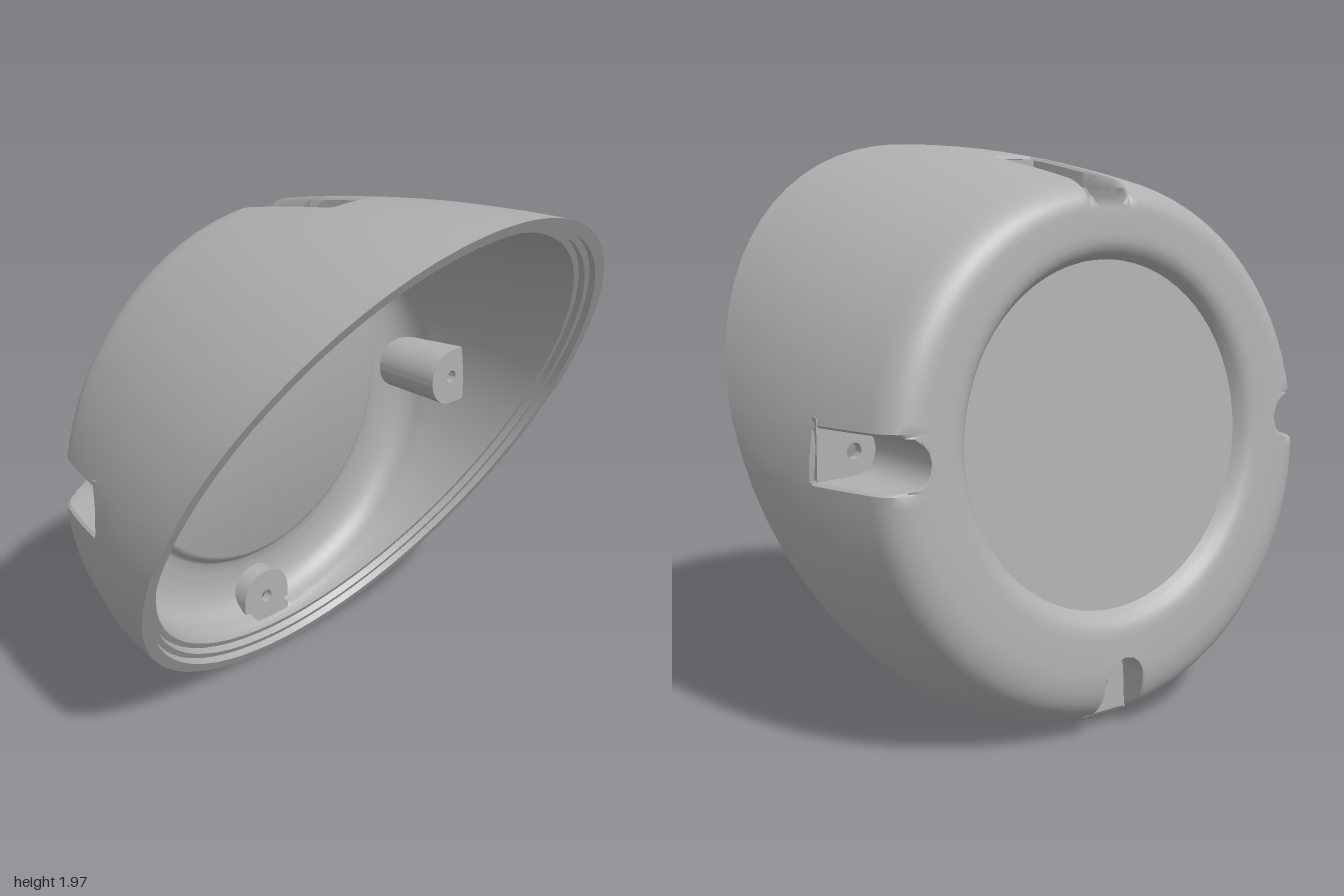
import * as THREE from 'three';
import { toCreasedNormals } from 'three/addons/utils/BufferGeometryUtils.js';

const CY = 0.998;        // height of the housing's centre
const BOSS_R = 0.805;    // distance of the screw bosses from the centre
const SLOT_W = 0.078;    // half width of a screw slot
const HALF_PI = Math.PI / 2;
const lerp = (a, b, t) => a + (b - a) * t;
const bez = (a, b, c, t) => lerp(lerp(a, b, t), lerp(b, c, t), t);
const arcV = (w, u) => BOSS_R - Math.sqrt(Math.max(0, w * w - u * u));

// slanted front rim plane, slightly leaning back plane, and slot end depth
const rimZ = y => lerp(-0.445, 0.67, y / 1.97);
const backZ = y => -0.615 + 0.066 * (y - 0.985);
const SLOT_END = [-0.04, -0.29, -0.555, -0.29];   // top, left, bottom, right

// Columns round the shell: straight sided ones at each slot, radial ones between
function makeColumns() {
  const half = [0.032, 0.056, 0.072, SLOT_W, 0.084, 0.092];
  const us = [...half.map(u => -u).reverse(), 0, ...half];
  const cols = [];
  for (let k = 0; k < 4; k++) {
    for (const u of us) cols.push({ k, u, slot: true });
    for (let i = 0; i <= 14; i++) cols.push({ k, a: lerp(0.155, HALF_PI - 0.155, i / 14), slot: false });
  }
  return cols;
}

// Cross-section sizes that depend on the angle
function section(theta) {
  const c = Math.cos(theta), s = Math.sin(theta);
  const R = 1 / Math.hypot(s, c / 0.985) - 0.013 * c;
  const y = r => CY + r * c;
  const h = rimZ(y(R)) - backZ(y(R));
  const rs = 0.838 + (1.235 - h) * 0.1, ds = 0.1;
  const wall = d => bez(R, (R + rs) / 2 + 0.015 + 0.04 * Math.min(1, h), rs, (h - d) / (h - ds));
  return { c, R, y, h, rs, ds, wall };
}

// One closed profile from the back centre over the rim to the inner centre
function profile(col) {
  const theta = col.k * HALF_PI + (col.slot ? Math.asin(col.u / 0.93) : col.a);
  const { c, R, y, h, rs, ds, wall } = section(theta);
  const zEnd = col.slot ? SLOT_END[col.k] : lerp(SLOT_END[col.k], SLOT_END[(col.k + 1) % 4],
    (1 - Math.cos(col.a * 2)) / 2);
  const dEnd = Math.min(Math.max(zEnd - backZ(y(0.93)), ds + 0.004), h - 0.05);
  const rows = [];
  const add = (r, d, mode = 'plain') => rows.push({ r, mode, depth: yy => backZ(yy) + d });
  // the rim steps run square to the slanted plane
  const stepR = (r, off) => r + 0.43 * off * c;
  const addRim = (r, off) => rows.push({ r: stepR(r, off), mode: 'plain', depth: yy => rimZ(yy) - off });
  // recessed back panel and flat ring
  add(0, 0.055); add(0.575, 0.055); add(0.582, 0.045); add(0.595, 0.025); add(0.612, 0.01);
  add(0.635, 0.002); add(0.66, 0); add(0.7, 0);
  // rounded back corner
  for (let i = 0; i <= 9; i++) {
    const t = i / 10;
    add(bez(0.74, rs - 0.03, rs, t), bez(0, 0, ds, t), 'cut');
  }
  // outer wall, behind and in front of the slot end
  for (let i = 0; i <= 6; i++) {
    const d = lerp(ds, dEnd, i / 6);
    add(wall(d), d, 'cut');
  }
  add(wall(dEnd), dEnd, 'edge');
  for (let i = 0; i <= 10; i++) {
    const d = lerp(dEnd + 0.012, h, i / 10);
    add(wall(d), d);
  }
  // stepped rim
  addRim(R - 0.04, 0); addRim(R - 0.043, 0.03); addRim(R - 0.065, 0.03);
  addRim(R - 0.068, 0.06); addRim(R - 0.09, 0.06);
  // inner wall
  const r0 = stepR(R - 0.09, 0.06), d0 = rimZ(y(r0)) - 0.06 - backZ(y(r0));
  const r1 = Math.min(rs - 0.05, r0 - 0.015), d1 = Math.min(0.19, d0 - 0.02);
  const dm = Math.max(Math.min(dEnd + 0.02, d0 - 0.005), d1 + 0.005);
  const inner = d => bez(r0, Math.min((r0 + r1) / 2 + 0.06, r0), r1, (d0 - d) / (d0 - d1));
  for (let i = 1; i <= 6; i++) { const d = lerp(d0, dm, i / 6); add(inner(d), d, 'front'); }
  for (let i = 1; i <= 6; i++) { const d = lerp(dm, d1, i / 6); add(inner(d), d, 'inner'); }
  // inner corner, floor and raised panel
  for (let i = 1; i <= 12; i++) {
    const t = i / 12;
    add(bez(r1, r1 - 0.01, 0.68, t), bez(d1, 0.06, 0.06, t), 'inner');
  }
  add(0.64, 0.06); add(0.628, 0.066); add(0.617, 0.082); add(0.606, 0.094); add(0.595, 0.098); add(0, 0.098);
  return rows;
}

// Point of the shell, pressed in where it lies in a slot
function place(col, row) {
  const c = Math.cos(col.k * HALF_PI), s = Math.sin(col.k * HALF_PI);
  const u = col.slot ? col.u * Math.min(1, row.r / 0.57) : row.r * Math.sin(col.a);
  let v = Math.sqrt(Math.max(0, row.r * row.r - u * u));
  const z = row.depth(CY + v * c - u * s);
  const au = col.slot ? Math.abs(col.u) : 1;
  if (row.mode === 'cut' && au <= SLOT_W) v = Math.min(v, arcV(SLOT_W, u));
  else if ((row.mode === 'cut' && au < 0.09) || (row.mode === 'edge' && au <= SLOT_W)) v -= 0.01;
  return new THREE.Vector3(v * s + u * c, CY + v * c - u * s, z);
}

function shellGeometry() {
  const cols = makeColumns();
  const rows = cols.map(profile);
  const pts = cols.map((c, j) => rows[j].map(r => place(c, r)));
  const pos = [];
  const tri = (a, b, c) => {
    const area = b.clone().sub(a).cross(c.clone().sub(a)).length();
    if (area > 1e-8) for (const p of [a, b, c]) pos.push(p.x, p.y, p.z);
  };
  for (let j = 0; j < cols.length; j++) {
    const n = (j + 1) % cols.length, A = cols[j], B = cols[n];
    const um = A.slot && B.slot ? Math.max(Math.abs(A.u), Math.abs(B.u)) : 1;
    for (let i = 0; i < rows[j].length - 1; i++) {
      const p = rows[j][i], q = rows[j][i + 1];
      // open the slot ends and the inner skin behind each boss
      if (p.mode === 'cut' && q.mode === 'edge' && um <= SLOT_W) continue;
      if (p.mode !== 'plain' && q.mode === 'inner' && um <= 0.093 &&
          Math.min(p.r, q.r) > arcV(0.112, um)) continue;
      tri(pts[j][i], pts[j][i + 1], pts[n][i + 1]);
      tri(pts[j][i], pts[n][i + 1], pts[n][i]);
    }
  }
  const g = new THREE.BufferGeometry();
  g.setAttribute('position', new THREE.Float32BufferAttribute(pos, 3));
  return toCreasedNormals(g, 0.6);
}

// Hollow screw boss: channel walls and a drilled end plate
function makeBoss(k, material) {
  const group = new THREE.Group();
  group.name = 'screwBoss' + (k + 1);
  const theta = k * HALF_PI, sec = section(theta), zEnd = SLOT_END[k];
  const rEnd = sec.wall(zEnd - backZ(sec.y(0.93))) - 0.012;

  const channel = new THREE.Shape();
  channel.moveTo(0.115, 1);
  channel.lineTo(0.092, 1);
  channel.lineTo(0.092, BOSS_R);
  channel.absarc(0, BOSS_R, 0.092, 0, -Math.PI, true);
  channel.lineTo(-0.092, 1);
  channel.lineTo(-0.115, 1);
  channel.lineTo(-0.115, BOSS_R);
  channel.absarc(0, BOSS_R, 0.115, Math.PI, Math.PI * 2, false);
  channel.lineTo(0.115, 1);
  const zBack = backZ(sec.y(0.72)) + 0.05;
  const wallGeo = new THREE.ExtrudeGeometry(channel, { depth: zEnd - zBack, bevelEnabled: false, curveSegments: 20 });
  const p = wallGeo.attributes.position;   // legs follow the slope of the shell
  for (let i = 0; i < p.count; i++) {
    if (p.getY(i) > 0.95) p.setY(i, p.getZ(i) > 0.01 ? rEnd - 0.01 : sec.rs - 0.045);
  }
  const walls = new THREE.Mesh(toCreasedNormals(wallGeo, 0.6), material);
  walls.name = 'bossWalls';
  walls.position.z = zBack;

  // end plate: round towards the centre, straight towards the shell
  const plateShape = new THREE.Shape();
  plateShape.moveTo(0.115, rEnd);
  plateShape.lineTo(-0.115, rEnd);
  plateShape.lineTo(-0.115, BOSS_R);
  plateShape.absarc(0, BOSS_R, 0.115, Math.PI, Math.PI * 2, false);
  const hole = new THREE.Path();
  hole.absarc(0, BOSS_R, 0.026, 0, Math.PI * 2, true);
  plateShape.holes.push(hole);
  const plateGeo = new THREE.ExtrudeGeometry(plateShape, { depth: 0.036, bevelEnabled: false, curveSegments: 20 });
  const plate = new THREE.Mesh(toCreasedNormals(plateGeo, 0.6), material);
  plate.name = 'bossEndPlate';
  plate.position.z = zEnd - 0.006;

  group.add(walls, plate);
  group.position.y = CY;
  group.rotation.z = -theta;
  return group;
}

export function createModel() {
  const model = new THREE.Group();
  model.name = 'slantedHousing';
  const grey = new THREE.MeshStandardMaterial({ color: 0xb0b0b0, side: THREE.DoubleSide });
  grey.name = 'plainGrey';
  const shell = new THREE.Mesh(shellGeometry(), grey);
  shell.name = 'shell';
  model.add(shell);
  for (let k = 0; k < 4; k++) model.add(makeBoss(k, grey));
  return model;
}
